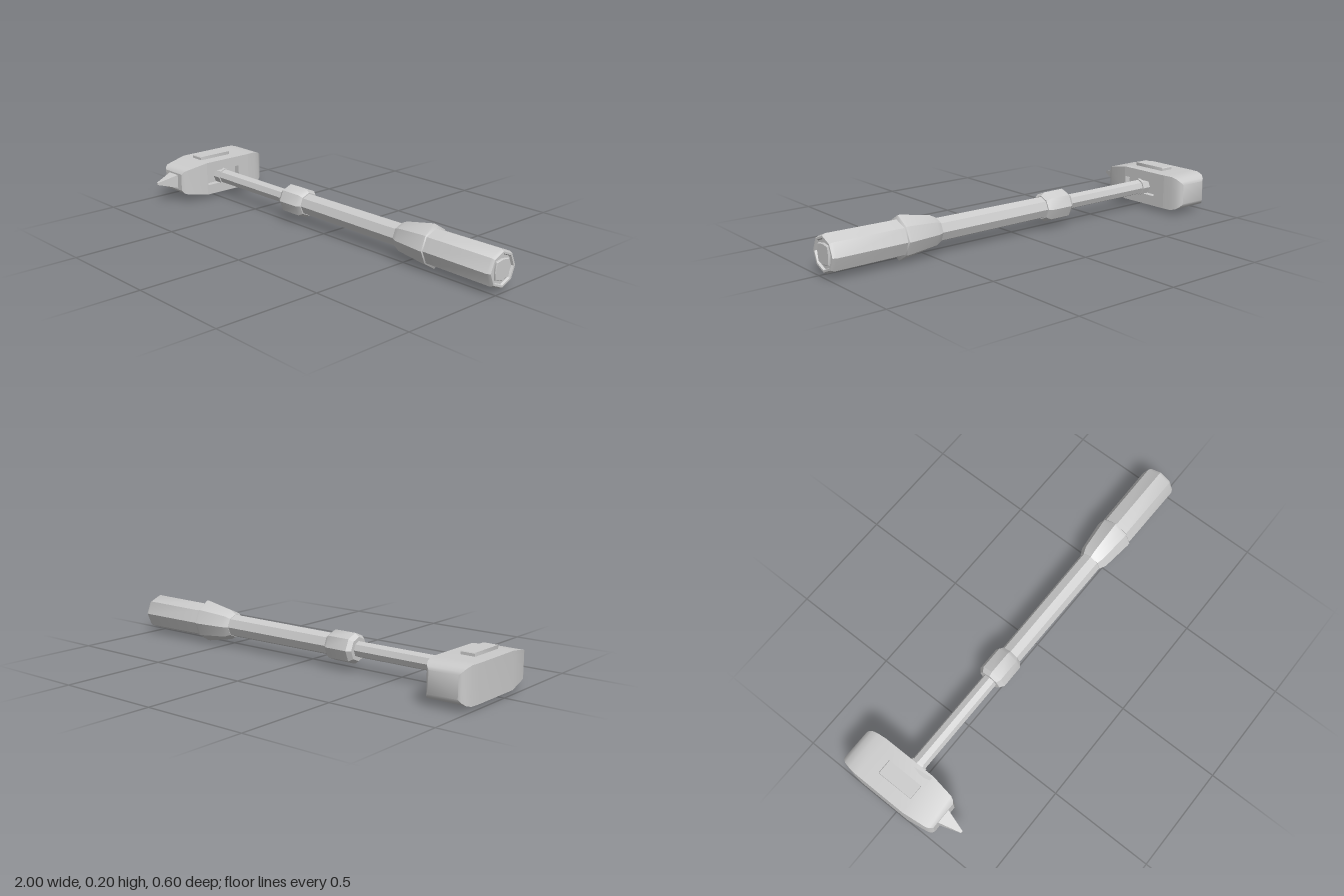
import * as THREE from 'three';
import { toCreasedNormals } from 'three/addons/utils/BufferGeometryUtils.js';

const grey = new THREE.MeshStandardMaterial({ color: 0xcccccc });
const AXIS_Y = 0.102, AXIS_Z = -0.04; // centre line of the handle
const HEAD_X = -0.9, HEAD_Y = 0.104;

function addMesh(parent, name, geometry, crease = 0.6) {
  const mesh = new THREE.Mesh(toCreasedNormals(geometry, crease), grey);
  mesh.name = name;
  parent.add(mesh);
  return mesh;
}

// Eight-sided turned part along x; profile is [x, radius] from head to butt
function turned(profile) {
  const points = profile.map(([x, r]) => new THREE.Vector2(r, x));
  return new THREE.LatheGeometry(points, 8).rotateZ(-Math.PI / 2);
}

// Closed loft of rectangles [z, halfWidth, halfHeight]; skip leaves out one +x panel
function loft(sections, skip = -1) {
  const corners = [[1, 1], [-1, 1], [-1, -1], [1, -1]];
  const positions = sections.flatMap(([z, w, h]) => corners.flatMap(([x, y]) => [x * w, y * h, z]));
  const index = [];
  const last = (sections.length - 1) * 4;
  for (let i = 0; i < sections.length - 1; i++) {
    for (let j = 0; j < 4; j++) {
      if (i === skip && j === 3) continue;
      const a = i * 4 + j, b = i * 4 + (j + 1) % 4;
      index.push(a, b, b + 4, a, b + 4, a + 4);
    }
  }
  index.push(0, 2, 1, 0, 3, 2, last, last + 1, last + 2, last, last + 2, last + 3);
  const geometry = new THREE.BufferGeometry();
  geometry.setAttribute('position', new THREE.Float32BufferAttribute(positions, 3));
  geometry.setIndex(index);
  return geometry;
}

function rectangle(path, u0, u1, v) {
  path.moveTo(u0, -v).lineTo(u1, -v).lineTo(u1, v).lineTo(u0, v).closePath();
  return path;
}

function createHead() {
  const head = new THREE.Group();
  head.name = 'head';
  head.position.set(HEAD_X, HEAD_Y, 0);

  // Block: rounded striking face at the back, tapering to the front
  addMesh(head, 'headBlock', loft([
    [-0.3, 0.068, 0.048], [-0.293, 0.08, 0.061], [-0.275, 0.09, 0.074], [-0.245, 0.096, 0.083],
    [-0.2, 0.1, 0.083], [0.065, 0.1, 0.083], [0.175, 0.085, 0.062], [0.19, 0.078, 0.056], [0.2, 0.066, 0.042],
  ], 4));

  // Side panel with the recessed socket around the shaft
  const panel = rectangle(new THREE.Shape(), -0.065, 0.2, 0.083);
  panel.holes.push(rectangle(new THREE.Path(), -0.06, 0.137, 0.034));
  const panelGeometry = new THREE.ExtrudeGeometry(panel, { depth: 0.03, bevelEnabled: false });
  addMesh(head, 'socketPanel', panelGeometry.rotateY(Math.PI / 2)).position.x = 0.07;
  addMesh(head, 'socketFloor', new THREE.BoxGeometry(0.02, 0.08, 0.21)).position.set(0.06, 0, -0.0385);

  // Pointed spike
  addMesh(head, 'spike', loft([[0.195, 0.036, 0.035], [0.3, 0.005, 0.005]]));

  // Raised plates above and below
  for (const side of [1, -1]) {
    const plate = loft([
      [-0.09, 0.033, 0.012], [-0.087, 0.035, 0.016], [0.087, 0.035, 0.016], [0.09, 0.033, 0.012],
    ]);
    addMesh(head, side > 0 ? 'topPlate' : 'bottomPlate', plate).position.set(0, side * 0.083, -0.0375);
  }
  return head;
}

function createHandle() {
  const handle = new THREE.Group();
  handle.name = 'handle';
  handle.position.set(0, AXIS_Y, AXIS_Z);

  addMesh(handle, 'shaft', turned([
    [-0.84, 0], [-0.84, 0.042], [-0.785, 0.042], [-0.785, 0.036], [-0.27, 0.036],
  ]));
  addMesh(handle, 'collar', turned([
    [-0.295, 0.035], [-0.295, 0.055], [-0.275, 0.07], [-0.165, 0.07], [-0.145, 0.056], [-0.145, 0.045],
  ]));
  addMesh(handle, 'sleeve', turned([[-0.17, 0.051], [0.48, 0.054]]));

  // Flared guard, its rim drawn out to points at top and bottom
  const flare = turned([
    [0.45, 0.048], [0.45, 0.056], [0.48, 0.071], [0.63, 0.088], [0.642, 0.087], [0.65, 0.078],
  ]);
  const p = flare.attributes.position;
  for (let i = 0; i < p.count; i++) {
    if (p.getX(i) > 0.6 && p.getX(i) < 0.645 && Math.abs(p.getY(i)) > 0.08) {
      p.setY(i, Math.sign(p.getY(i)) * 0.1);
    }
  }
  addMesh(handle, 'gripFlare', flare);

  addMesh(handle, 'grip', turned([
    [0.63, 0.082], [0.985, 0.085], [1, 0.077], [1, 0.068], [0.99, 0.064], [0.99, 0],
  ]));

  // Squarish button in the butt of the grip
  const outline = Array.from({ length: 8 }, (_, i) => {
    const r = i % 2 ? 0.056 : 0.046, a = i * Math.PI / 4;
    return new THREE.Vector2(r * Math.cos(a), r * Math.sin(a));
  });
  const button = new THREE.ExtrudeGeometry(new THREE.Shape(outline), {
    depth: 0.012, bevelThickness: 0.003, bevelSize: 0.003, bevelOffset: -0.003, bevelSegments: 1,
  });
  addMesh(handle, 'buttButton', button.rotateY(Math.PI / 2)).position.x = 0.985;
  return handle;
}

export function createModel() {
  const model = new THREE.Group();
  model.name = 'warHammer';
  model.add(createHead(), createHandle());
  return model;
}
